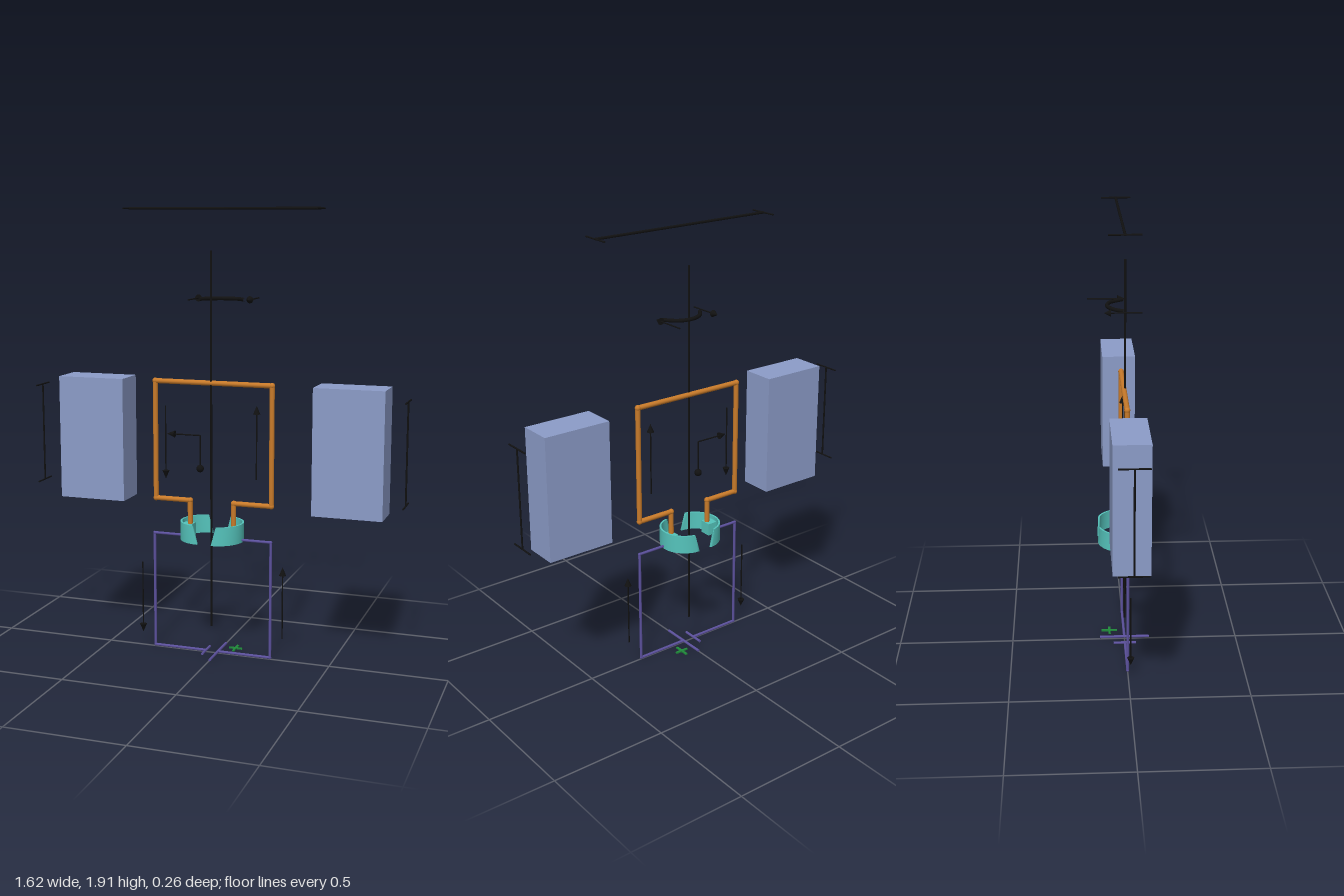
import * as THREE from 'three';

const mat = (color, side = THREE.FrontSide) => new THREE.MeshStandardMaterial({ color, side });
const BLACK = mat(0x111111), BLUE = mat(0x8c9cc8), COPPER = mat(0xc97b2a);
const TEAL = mat(0x55c4bc, THREE.DoubleSide), PURPLE = mat(0x5b509c), GREEN = mat(0x1f8a3a);
const V = (p) => new THREE.Vector3(...p);

function add(parent, name, geometry, material, pos = [0, 0, 0]) {
  const m = new THREE.Mesh(geometry, material);
  m.name = name;
  m.position.set(...pos);
  parent.add(m);
  return m;
}

// Cylinder (or cone) running from point a to point b
function rod(parent, name, a, b, r, material, rEnd = r, sides = 12) {
  const A = V(a), B = V(b), d = B.clone().sub(A);
  const m = add(parent, name, new THREE.CylinderGeometry(rEnd, r, d.length(), sides), material);
  m.position.copy(A).add(B).multiplyScalar(0.5);
  m.quaternion.setFromUnitVectors(new THREE.Vector3(0, 1, 0), d.normalize());
  return m;
}

// Chain of rods with ball joints at the bends
function wire(parent, name, points, r, material) {
  const g = new THREE.Group();
  g.name = name;
  parent.add(g);
  points.forEach((p, i) => {
    if (i) rod(g, name + 'Segment', points[i - 1], p, r, material);
    if (i && i < points.length - 1) add(g, name + 'Joint', new THREE.SphereGeometry(r * 1.15, 12, 8), material, p);
  });
}

// Thin shaft with a cone head at point b
function arrow(parent, name, a, b, head = 0.036, r = 0.003) {
  const g = new THREE.Group();
  g.name = name;
  parent.add(g);
  const neck = V(b).lerp(V(a), head / V(a).distanceTo(V(b))).toArray();
  rod(g, 'arrowShaft', a, neck, r, BLACK, r, 8);
  rod(g, 'arrowHead', neck, b, 0.015, BLACK, 0, 14);
}

// Line with a cross tick along z at each end
function dimension(parent, name, a, b, r, tick) {
  const g = new THREE.Group();
  g.name = name;
  parent.add(g);
  rod(g, 'dimensionLine', a, b, r, BLACK, r, 8);
  for (const [x, y, z] of [a, b]) {
    rod(g, 'dimensionTick', [x, y, z - tick], [x, y, z + tick], 0.0035, BLACK, 0.0035, 8);
  }
}

// Half ring bulging to +x, with ends slanting back towards the top
function halfRingGeometry(rOuter, rInner, height, slant, n = 32) {
  const pos = [], idx = [];
  for (let i = 0; i <= n; i++) {
    const t = (i / n) * 2 - 1;
    const corner = (r, y, half) => [r * Math.cos(t * half), y, r * Math.sin(t * half)];
    const low = Math.PI / 2, high = low - slant;
    const s = [corner(rOuter, 0, low), corner(rOuter, height, high), corner(rInner, height, high), corner(rInner, 0, low)];
    // each wall has its own two vertices so its edges stay sharp
    for (let k = 0; k < 4; k++) pos.push(...s[k], ...s[(k + 1) % 4]);
  }
  for (let i = 0; i < n; i++) {
    for (let k = 0; k < 4; k++) {
      const a = i * 8 + k * 2, b = a + 8;
      idx.push(a, a + 1, b, a + 1, b + 1, b);
    }
  }
  const e = n * 8;
  idx.push(0, 4, 2, 0, 6, 4, e, e + 2, e + 4, e, e + 4, e + 6);
  const g = new THREE.BufferGeometry();
  g.setAttribute('position', new THREE.Float32BufferAttribute(pos, 3));
  g.setIndex(idx);
  g.computeVertexNormals();
  return g;
}

export function createModel() {
  const model = new THREE.Group();
  model.name = 'electricMotorDiagram';

  // Pole magnets
  for (const [name, x] of [['rightMagnet', -0.547], ['leftMagnet', 0.578]]) {
    add(model, name, new THREE.BoxGeometry(0.295, 0.53, 0.147), BLUE, [x, 0.925, -0.006]);
  }

  // Rotating coil
  wire(model, 'coil', [
    [-0.122, 0.535, -0.004], [-0.122, 0.67, -0.004], [-0.278, 0.67, -0.004], [-0.278, 1.18, -0.004],
    [0.24, 1.18, -0.004], [0.24, 0.67, -0.004], [0.074, 0.67, -0.004], [0.074, 0.535, -0.004],
  ], 0.011, COPPER);

  // Split commutator with a contact block inside each half
  for (const s of [-1, 1]) {
    const half = new THREE.Group();
    half.name = s < 0 ? 'rightCommutator' : 'leftCommutator';
    half.position.set(-0.024 + s * 0.03, 0.505, -0.009);
    half.rotation.y = s < 0 ? Math.PI : 0;
    add(half, 'halfRing', halfRingGeometry(0.108, 0.1, 0.08, 0.2), TEAL);
    add(half, 'contactBlock', new THREE.BoxGeometry(0.05, 0.055, 0.05), TEAL, [0.079, 0.035, 0]);
    model.add(half);
  }

  // Supply circuit and battery
  wire(model, 'rightCircuitWire', [[-0.16, 0.515, 0], [-0.285, 0.515, 0], [-0.285, 0.006, 0], [-0.05, 0.006, 0]], 0.006, PURPLE);
  wire(model, 'leftCircuitWire', [[0.11, 0.515, 0], [0.24, 0.515, 0], [0.24, 0.006, 0], [0.005, 0.006, 0]], 0.006, PURPLE);
  rod(model, 'shortBatteryPlate', [-0.05, 0.006, -0.05], [-0.05, 0.006, 0.05], 0.006, PURPLE);
  rod(model, 'longBatteryPlate', [0.005, 0.006, -0.11], [0.005, 0.006, 0.11], 0.006, PURPLE);
  add(model, 'polarityMark', new THREE.BoxGeometry(0.06, 0.006, 0.01), GREEN, [0.065, 0.006, -0.065]);
  add(model, 'polarityMark', new THREE.BoxGeometry(0.01, 0.006, 0.07), GREEN, [0.065, 0.006, -0.065]);

  // Rotation axis
  rod(model, 'rotationAxis', [-0.025, 0.12, 0], [-0.025, 1.73, 0], 0.0045, BLACK);

  // Rotation sense: curved bar and two arrows
  const arc = new THREE.CatmullRomCurve3([
    [-0.078, 1.53, -0.005], [-0.04, 1.53, -0.05], [0.015, 1.53, -0.072], [0.075, 1.53, -0.058], [0.12, 1.53, -0.005],
  ].map(V));
  add(model, 'rotationArc', new THREE.TubeGeometry(arc, 32, 0.008, 10), BLACK);
  arrow(model, 'rotationArrow', [-0.102, 1.53, 0.065], [-0.102, 1.53, -0.09], 0.03);
  arrow(model, 'rotationArrow', [0.135, 1.53, -0.15], [0.135, 1.53, 0.005], 0.03);

  // Current arrows along the coil and the circuit
  arrow(model, 'coilCurrentArrow', [-0.231, 1.075, 0], [-0.231, 0.758, 0]);
  arrow(model, 'coilCurrentArrow', [0.175, 0.78, 0], [0.175, 1.095, 0]);
  arrow(model, 'circuitCurrentArrow', [-0.339, 0.38, 0.01], [-0.339, 0.062, 0.01]);
  arrow(model, 'circuitCurrentArrow', [0.296, 0.1, 0.01], [0.296, 0.415, 0.01]);

  // Field and moment arrows
  arrow(model, 'fieldArrow', [-0.075, 0.955, 0], [-0.225, 0.955, 0]);
  rod(model, 'momentShaft', [-0.075, 0.955, 0], [-0.075, 0.81, 0], 0.0035, BLACK);
  add(model, 'momentTip', new THREE.SphereGeometry(0.016, 16, 12), BLACK, [-0.075, 0.812, 0]);

  // Dimension lines
  dimension(model, 'widthDimension', [-0.396, 1.9, -0.019], [0.432, 1.9, -0.019], 0.0055, 0.063);
  for (const x of [-0.81, 0.805]) {
    dimension(model, 'heightDimension', [x, 0.715, -0.004], [x, 1.142, -0.004], 0.0038, 0.06);
  }
  return model;
}
